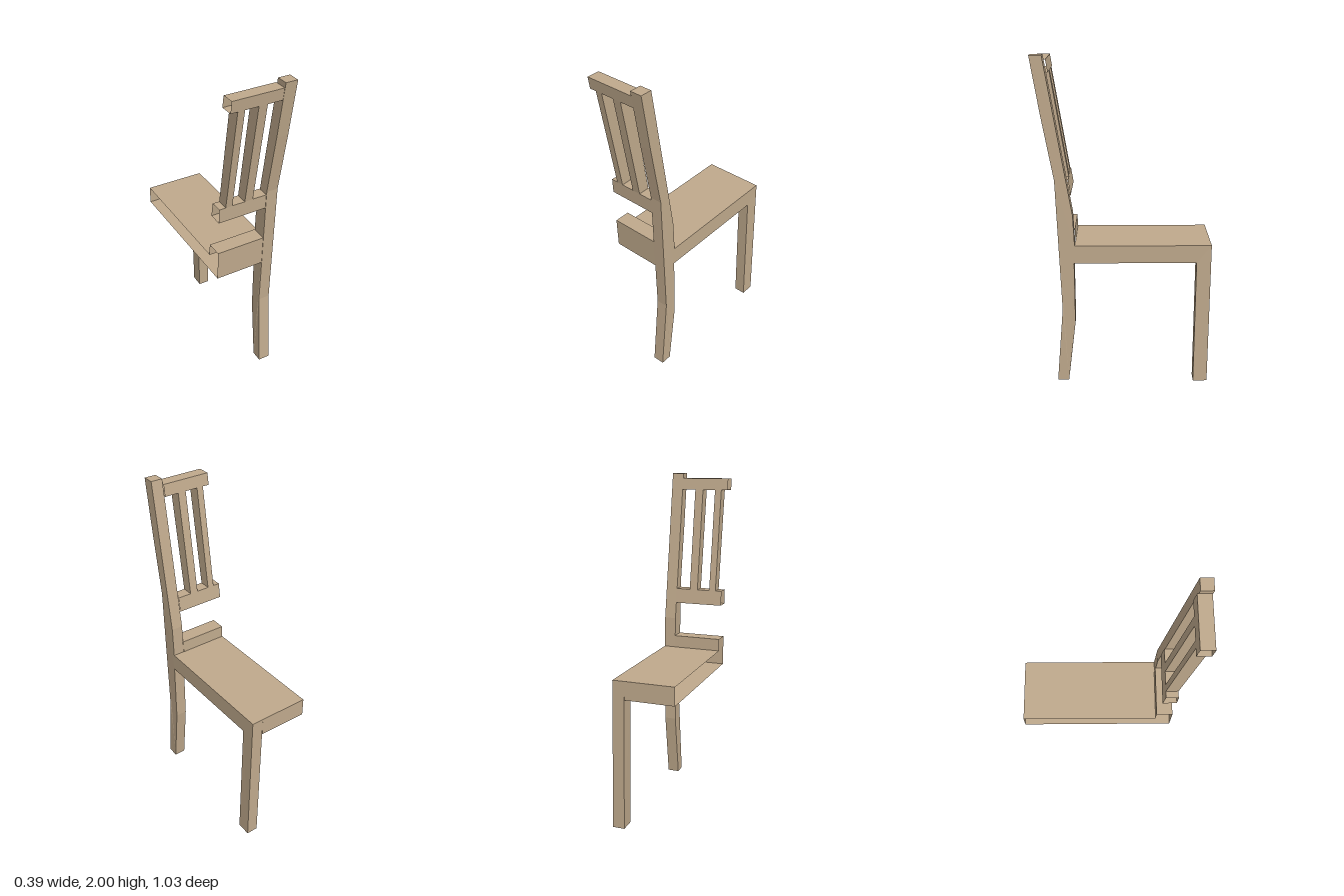
import * as THREE from 'three';

const CUT = -0.195, POST_IN = 0.105, POST_OUT = 0.176;

// Extrudes a [z, y] section along x; open = true leaves off both end caps
function extrudeX(section, x0, x1, open = false) {
  const shape = new THREE.Shape(section.map(([z, y]) => new THREE.Vector2(-z, y)));
  const solid = new THREE.ExtrudeGeometry(shape, { depth: x1 - x0, bevelEnabled: false });
  let geometry = solid;
  if (open) {
    const { start, count } = solid.groups[1];
    const sides = solid.attributes.position.array.slice(start * 3, (start + count) * 3);
    geometry = new THREE.BufferGeometry();
    geometry.setAttribute('position', new THREE.BufferAttribute(sides, 3));
  }
  geometry.clearGroups();
  geometry.rotateY(Math.PI / 2).translate(x0, 0, 0);
  geometry.computeVertexNormals();
  return geometry;
}

export function createModel() {
  const group = new THREE.Group();
  group.name = 'halfChair';
  const wood = new THREE.MeshStandardMaterial({ color: 0xbfa98c, side: THREE.DoubleSide });
  wood.name = 'pale wood';

  const add = (name, geometry) => {
    const mesh = new THREE.Mesh(geometry, wood);
    mesh.name = name;
    group.add(mesh);
  };

  // Side frame: bent rear post, seat side and front leg in one outline
  const frame = extrudeX([
    [0.415, 0], [0.373, 0.49], [0.4, 1.3], [0.465, 1.67], [0.517, 2],
    [0.447, 2], [0.397, 1.69], [0.3, 1.09], [0.292, 0.9],
    [-0.517, 0.9], [-0.517, 0], [-0.431, 0], [-0.431, 0.79],
    [0.297, 0.79], [0.297, 0.4], [0.346, 0],
  ], POST_IN, POST_OUT);
  // The front foot splays outward a little, the rear foot inward
  const p = frame.attributes.position;
  for (let i = 0; i < p.count; i++) {
    if (p.getY(i) < 0.01) p.setX(i, p.getX(i) + (p.getZ(i) < 0 ? 0.015 : -0.004));
  }
  frame.computeVertexNormals();
  add('sideFrame', frame);

  // Hollow seat with the raised rear apron, open at the cut end
  add('seatAndApron', extrudeX([
    [-0.517, 0.79], [0.382, 0.79], [0.387, 0.975], [0.292, 0.975],
    [0.29, 0.9], [-0.517, 0.9],
  ], CUT, POST_IN, true));

  // Hollow back rails, open at the cut end
  add('lowerBackRail', extrudeX(
    [[0.312, 1.19], [0.394, 1.19], [0.397, 1.28], [0.326, 1.28]], CUT, POST_IN, true));
  add('topBackRail', extrudeX(
    [[0.423, 1.9], [0.5, 1.9], [0.51, 1.97], [0.434, 1.97]], CUT, POST_IN, true));

  // Leaning slats between the rails
  for (const [x0, x1] of [[-0.154, -0.113], [-0.034, 0.017]]) {
    add('backSlat', extrudeX(
      [[0.326, 1.28], [0.397, 1.28], [0.5, 1.9], [0.423, 1.9]], x0, x1));
  }
  return group;
}
